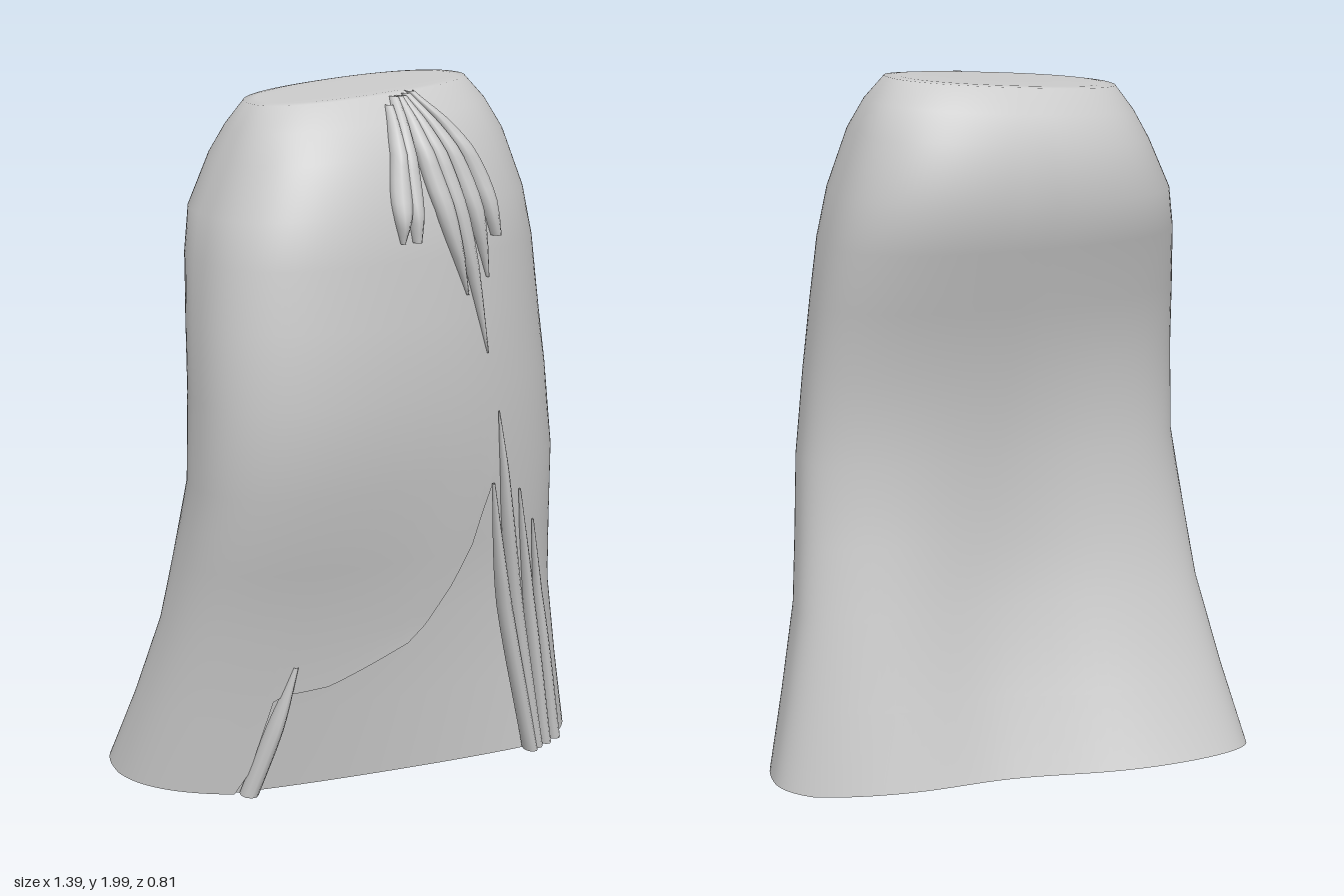
import * as THREE from 'three';

const lerp = THREE.MathUtils.lerp;
const smoothstep = THREE.MathUtils.smoothstep;
const material = new THREE.MeshStandardMaterial({ color: 0xcccccc, side: THREE.DoubleSide });

// Cross-sections: y, left x, right x, front z, middle z, back z, front skew, back skew, roundness power
const SECTIONS = [
  [0.01, -0.697, 0.692, 0.235, -0.14, -0.39, 0.12, 0.13, 2.3],
  [0.25, -0.65, 0.647, 0.26, -0.09, -0.315, 0.08, 0.07, 2.35],
  [0.5, -0.605, 0.602, 0.285, -0.03, -0.24, 0.03, 0.02, 2.4],
  [0.7, -0.588, 0.585, 0.32, 0.02, -0.205, -0.02, 0.01, 2.4],
  [0.93, -0.57, 0.567, 0.365, 0.08, -0.175, -0.09, 0.01, 2.4],
  [1.18, -0.57, 0.545, 0.385, 0.08, -0.195, -0.12, -0.03, 2.35],
  [1.38, -0.556, 0.527, 0.37, 0.05, -0.245, -0.11, -0.06, 2.4],
  [1.55, -0.535, 0.505, 0.355, 0.03, -0.3, -0.1, -0.07, 2.55],
  [1.68, -0.505, 0.475, 0.34, 0.01, -0.335, -0.09, -0.07, 2.6],
  [1.83, -0.44, 0.42, 0.29, 0, -0.315, -0.09, -0.07, 2.5],
  [1.91, -0.4, 0.375, 0.235, 0, -0.265, -0.09, -0.07, 2.4],
  [1.975, -0.35, 0.32, 0.18, 0, -0.21, -0.09, -0.06, 2.3],
];

// Piecewise-linear lookup; returns the whole interpolated row
function sample(table, key) {
  let i = 0;
  while (i < table.length - 2 && key > table[i + 1][0]) i++;
  const f = THREE.MathUtils.clamp((key - table[i][0]) / (table[i + 1][0] - table[i][0]), 0, 1);
  return table[i].map((v, k) => lerp(v, table[i + 1][k], f));
}

// Point of the robe at angle t and height y
function robePoint(t, y) {
  const [, xl, xr, zf, zm, zb, skewF, skewB, power] = sample(SECTIONS, y);
  const c = Math.cos(t), s = Math.sin(t);
  const px = Math.sign(c) * Math.abs(c) ** (2 / power);
  const pz = Math.abs(s) ** (2 / power);
  const x = (xl + xr) / 2 + px * (xr - xl) / 2;
  // valley down the middle of the lower back
  const valley = s < 0 ? 0.07 * Math.exp(-(((x - 0.06) / 0.24) ** 2)) * (1 - smoothstep(y, 0.3, 1.2)) : 0;
  const z = zm + pz * (s > 0 ? zf - zm : zb - zm) + x * lerp(skewB, skewF, (s + 1) / 2) + valley;
  const lift = 0.2 * Math.max(0, -z - 0.2) * Math.max(0, 1 - y / 0.25);
  const tilt = 0.07 * x * smoothstep(y, 1.5, 1.95);
  return [x, y + lift + tilt, z];
}

// Depth of the robe's front at x, y
function frontZ(x, y) {
  const [, xl, xr, zf, zm, , skewF, skewB, power] = sample(SECTIONS, y);
  const u = Math.min(1, Math.abs((x - (xl + xr) / 2) / ((xr - xl) / 2)));
  const s = Math.sqrt(1 - u ** power);
  return zm + s ** (2 / power) * (zf - zm) + x * lerp(skewB, skewF, (s + 1) / 2);
}

// Surface through rows of points
function loft(name, rows, closed) {
  const n = rows[0].length, index = [];
  for (let j = 0; j < rows.length - 1; j++) {
    for (let i = 0; i < (closed ? n : n - 1); i++) {
      const a = j * n + i, b = j * n + (i + 1) % n;
      index.push(a, a + n, b, b, a + n, b + n);
    }
  }
  const geometry = new THREE.BufferGeometry();
  geometry.setAttribute('position', new THREE.Float32BufferAttribute(rows.flat(2), 3));
  geometry.setIndex(index);
  geometry.computeVertexNormals();
  const mesh = new THREE.Mesh(geometry, material);
  mesh.name = name;
  return mesh;
}

// Lower edge of the outer drape: hem x, edge height
const DRAPE_EDGE = [
  [-0.45, 0], [-0.41, 0.32], [-0.25, 0.34], [-0.1, 0.4], [0.02, 0.45],
  [0.14, 0.6], [0.23, 0.74], [0.27, 0.89], [0.3, 0.86], [0.36, 0.5], [0.46, 0],
];

function outerRobe() {
  const count = 120, rows = [];
  const angles = Array.from({ length: count }, (_, i) => i / count * Math.PI * 2);
  const edge = angles.map(t => (Math.sin(t) > 0 ? sample(DRAPE_EDGE, robePoint(t, 0)[0])[1] : 0));
  for (const [y] of SECTIONS) {
    rows.push(angles.map((t, i) => robePoint(t, Math.max(y, edge[i]))));
  }
  // flat tilted top
  const rim = rows[rows.length - 1];
  for (const k of [0.9, 0.45, 0]) {
    rows.push(rim.map(([x, , z]) => [x * k, 1.978 + 0.07 * x * k, z * k]));
  }
  return loft('outerRobe', rows, true);
}

// Nearly flat panel showing beneath the drape, straight along the hem
function underPanel() {
  const rows = [];
  for (const [y] of SECTIONS.slice(0, 6)) {
    const zRight = frontZ(0.47, y), zLeft = frontZ(-0.47, y);
    const row = [];
    for (let i = 0; i <= 24; i++) {
      const x = lerp(0.47, -0.47, i / 24);
      const chord = lerp(zRight, zLeft, i / 24);
      row.push([x, y, lerp(chord, frontZ(x, y), lerp(0.25, 0.65, y)) - 0.01]);
    }
    rows.push(row);
  }
  return loft('underPanel', rows, false);
}

// Tapered fold lying on the front; points are [x, y, half width]
function fold(name, points, depth, offset) {
  const curve = new THREE.CatmullRomCurve3(points.map(p => new THREE.Vector3(...p)));
  const rows = [];
  for (let j = 0; j <= 14; j++) {
    const p = curve.getPoint(j / 14);
    const w = Math.max(p.z, 0.002);
    const z = frontZ(p.x, p.y) + offset;
    const row = [];
    for (let i = 0; i < 10; i++) {
      const t = i / 10 * Math.PI * 2;
      row.push([p.x + Math.cos(t) * w, p.y, z + Math.sin(t) * Math.min(depth, w * 1.6)]);
    }
    rows.push(row);
  }
  return loft(name, rows, true);
}

export function createModel() {
  const model = new THREE.Group();
  model.name = 'drapedRobe';
  model.add(outerRobe(), underPanel());

  // Gathered folds fanning from the top
  const gather = new THREE.Group();
  gather.name = 'gatheredFolds';
  [
    [[-0.03, 1.95, 0.01], [-0.05, 1.84, 0.022], [-0.065, 1.7, 0.03], [-0.07, 1.6, 0.006]],
    [[-0.005, 1.97, 0.012], [-0.02, 1.86, 0.022], [-0.025, 1.72, 0.026], [-0.025, 1.6, 0.012]],
    [[0.01, 1.97, 0.012], [0.03, 1.84, 0.026], [0.07, 1.68, 0.03], [0.14, 1.44, 0.003]],
    [[0.02, 1.97, 0.012], [0.07, 1.84, 0.026], [0.125, 1.64, 0.026], [0.21, 1.27, 0.002]],
    [[0.035, 1.975, 0.012], [0.11, 1.85, 0.026], [0.165, 1.7, 0.028], [0.215, 1.48, 0.004]],
    [[0.05, 1.98, 0.012], [0.145, 1.87, 0.026], [0.21, 1.74, 0.03], [0.25, 1.59, 0.015]],
  ].forEach((points, i) => gather.add(fold('gatheredFold' + (i + 1), points, 0.03, 0.004)));
  model.add(gather);

  // Long pleats down the side of the opening
  const pleats = new THREE.Group();
  pleats.name = 'sidePleats';
  [
    [[0.25, 1.1, 0.002], [0.31, 0.75, 0.018], [0.465, 0.02, 0.022]],
    [[0.24, 0.89, 0.004], [0.32, 0.5, 0.02], [0.445, 0.015, 0.02]],
    [[0.35, 0.85, 0.003], [0.42, 0.5, 0.016], [0.505, 0.02, 0.02]],
    [[0.42, 0.74, 0.003], [0.485, 0.4, 0.016], [0.55, 0.02, 0.021]],
  ].forEach((points, i) => pleats.add(fold('sidePleat' + (i + 1), points, 0.03, 0.01)));
  model.add(pleats);

  // Short pleat on the other side of the opening
  model.add(fold('shortPleat', [[-0.33, 0.41, 0.006], [-0.375, 0.22, 0.022], [-0.43, 0.012, 0.025]], 0.035, 0));
  return model;
}
